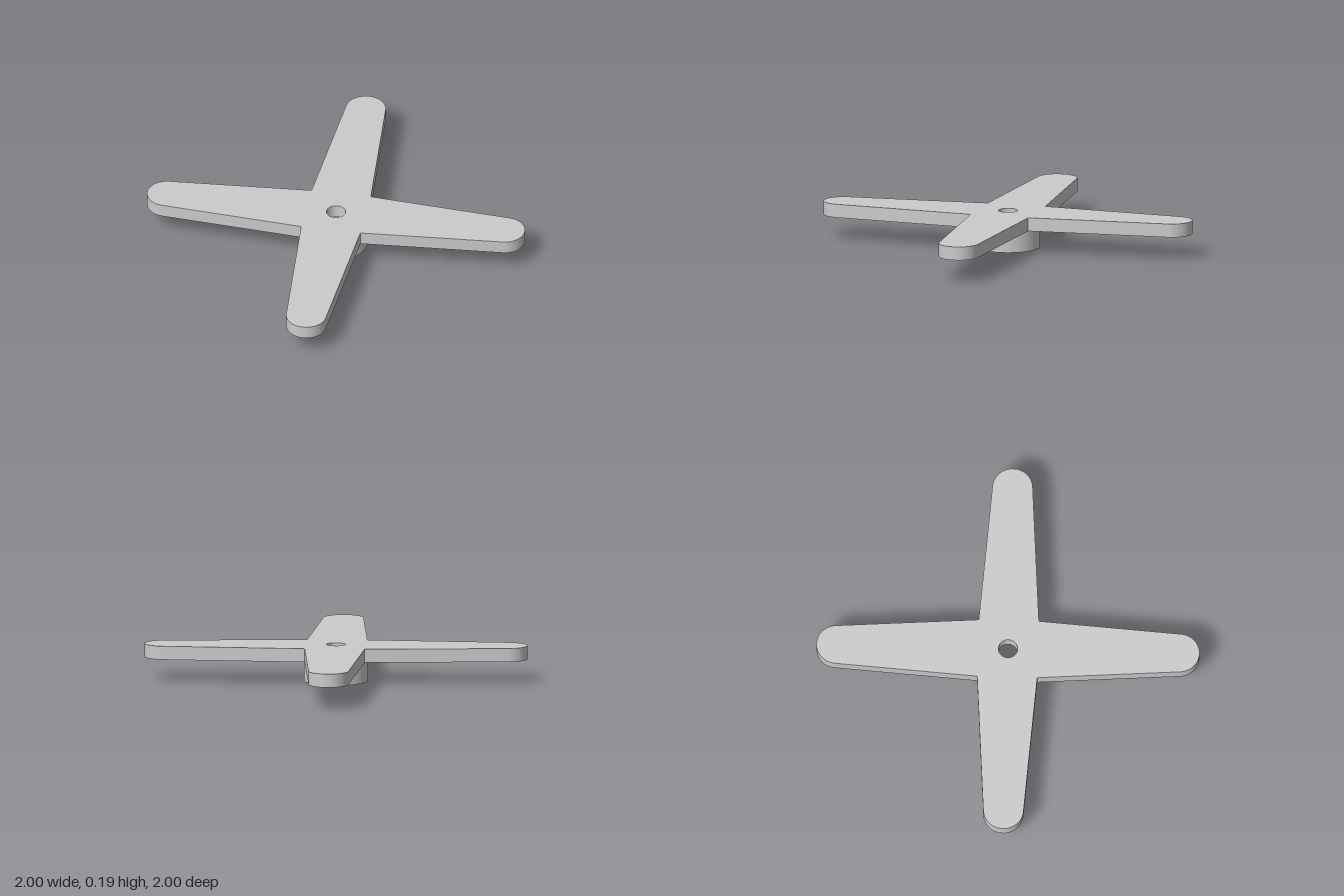
import * as THREE from 'three';
import { toCreasedNormals } from 'three/addons/utils/BufferGeometryUtils.js';

const HUB_HEIGHT = 0.121;
const PLATE_THICKNESS = 0.071;
const ARM_COUNT = 4;

// Cross-shaped outline: tapered arms with rounded tips, meeting at sharp inner corners
function crossShape() {
  const tipRadius = 0.105, tipCentre = 1 - tipRadius, cornerRadius = 0.157 * Math.SQRT2;
  const step = (Math.PI * 2) / ARM_COUNT;
  const sweep = THREE.MathUtils.degToRad(86); // where the straight edges meet the tip
  const shape = new THREE.Shape();
  for (let i = 0; i < ARM_COUNT; i++) {
    const a = i * step, corner = a + step / 2;
    shape.absarc(tipCentre * Math.cos(a), tipCentre * Math.sin(a), tipRadius, a - sweep, a + sweep, false);
    shape.lineTo(cornerRadius * Math.cos(corner), cornerRadius * Math.sin(corner));
  }
  shape.closePath();
  return shape;
}

function discShape(radius) {
  return new THREE.Shape().absarc(0, 0, radius, 0, Math.PI * 2, false);
}

// Upright extrusion with a round central bore
function boredPart(name, shape, boreRadius, height, y, material) {
  shape.holes.push(new THREE.Path().absarc(0, 0, boreRadius, 0, Math.PI * 2, true));
  const flat = new THREE.ExtrudeGeometry(shape, { depth: height, bevelEnabled: false, curveSegments: 32 });
  flat.rotateX(-Math.PI / 2);
  const mesh = new THREE.Mesh(toCreasedNormals(flat, Math.PI / 6), material);
  mesh.name = name;
  mesh.position.y = y;
  return mesh;
}

export function createModel() {
  const group = new THREE.Group();
  group.name = 'fourArmHorn';
  const material = new THREE.MeshStandardMaterial({ color: 0xcccccc });

  // Flat four-armed plate with a small screw hole
  group.add(boredPart('armPlate', crossShape(), 0.05, PLATE_THICKNESS, HUB_HEIGHT, material));
  // Hollow collar underneath, its socket ending at the plate
  group.add(boredPart('hubCollar', discShape(0.168), 0.118, HUB_HEIGHT, 0, material));

  return group;
}
